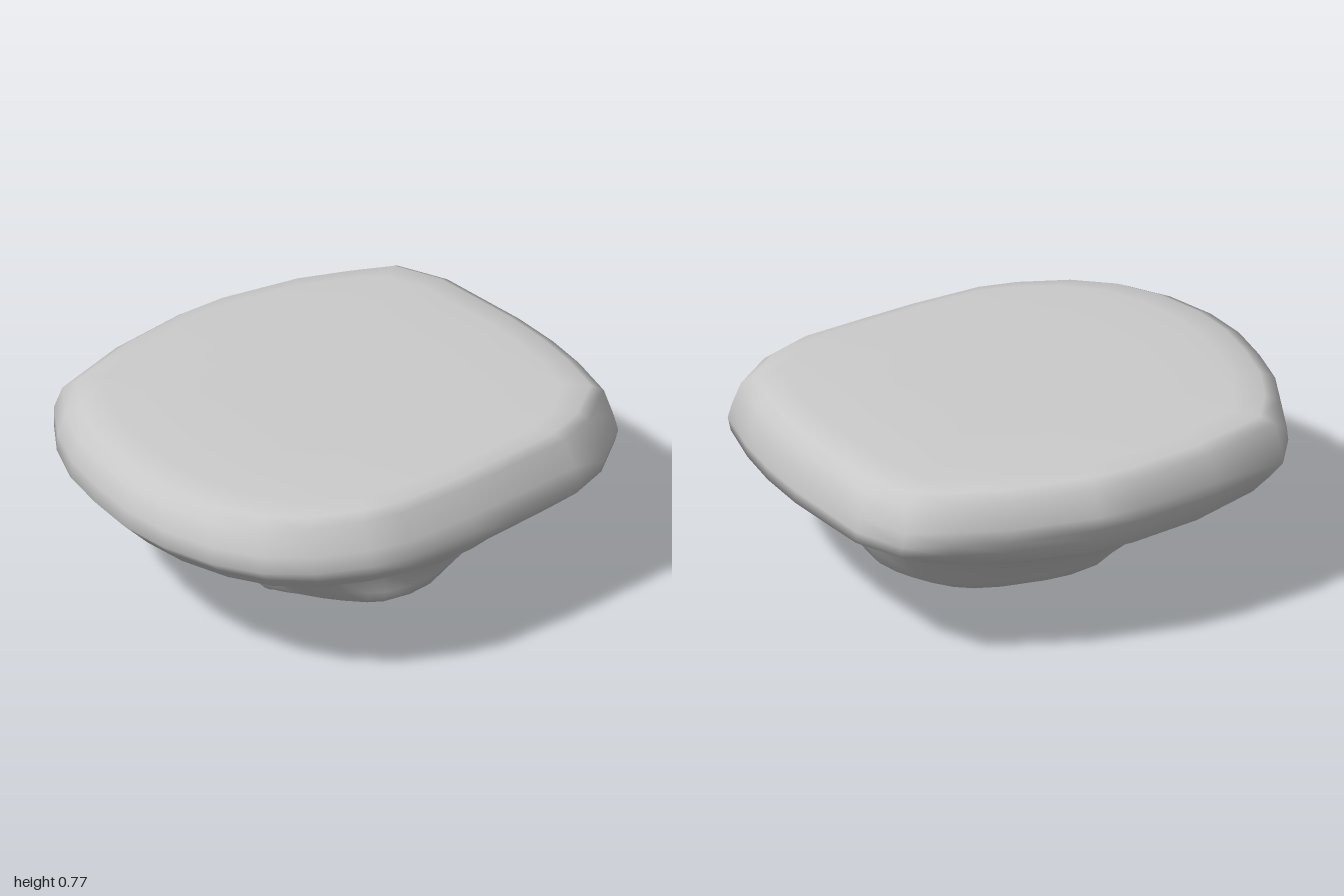
import * as THREE from 'three';
import { mergeVertices } from 'three/addons/utils/BufferGeometryUtils.js';

// Plan outline of the slab, from +x round through +z, as fractions of the half extents
const OUTLINE = [
  [1, 0], [0.99, 0.32], [0.94, 0.48], [0.83, 0.68], [0.68, 0.83], [0.48, 0.93], [0.23, 0.99], [0, 1],
  [-0.23, 0.97], [-0.46, 0.92], [-0.67, 0.83], [-0.85, 0.71], [-0.96, 0.35], [-1, 0],
  [-0.99, -0.19], [-0.9, -0.53], [-0.8, -0.73], [-0.7, -0.9], [-0.47, -0.98], [-0.23, -0.99], [0, -1],
  [0.25, -0.99], [0.48, -0.96], [0.74, -0.9], [0.9, -0.71], [0.97, -0.53], [0.99, -0.2],
];

// Height, reach to -x, +x, -z, +z, and how far the outline is rounded to an ellipse
const LEVELS = [
  [0.77, 0, 0, 0, 0, 0],
  [0.77, 0.4, 0.4, 0.45, 0.45, 0],
  [0.768, 0.74, 0.73, 0.8, 0.78, 0],
  [0.75, 0.81, 0.79, 0.91, 0.9, 0],
  [0.72, 0.85, 0.82, 0.96, 0.96, 0],
  [0.62, 0.895, 0.87, 0.98, 0.975, 0],
  [0.56, 0.88, 0.89, 0.99, 0.99, 0],
  [0.51, 0.86, 0.88, 0.99, 0.94, 0.05],
  [0.44, 0.82, 0.81, 0.86, 0.87, 0.15],
  [0.4, 0.75, 0.75, 0.77, 0.79, 0.3],
  [0.33, 0.63, 0.69, 0.73, 0.66, 0.5],
  [0.25, 0.52, 0.58, 0.68, 0.51, 0.7],
  [0.16, 0.42, 0.52, 0.62, 0.38, 0.85],
  [0.11, 0.37, 0.5, 0.54, 0.36, 1],
  [0.05, 0.22, 0.25, 0.42, 0.32, 1],
  [0.02, 0.13, 0.1, 0.24, 0.29, 1],
  [0, 0, 0, 0, 0, 1],
];

function createRockGeometry() {
  const positions = [], index = [];
  const n = OUTLINE.length;
  LEVELS.forEach(([y, left, right, back, front, round], i) => {
    OUTLINE.forEach(([u, v], j) => {
      const r = Math.hypot(u, v);
      const a = Math.atan2(v, u);
      const k = THREE.MathUtils.lerp(1, 1 / r, round);
      // Hollow above the foot on the +x side, and faint furrows on the underside
      const hollow = 0.16 * Math.exp(-(((a - 0.4) / 0.3) ** 2) - (((y - 0.28) / 0.07) ** 2));
      const furrow = 0.025 * round * Math.sin(a * 5 + y * 9) * Math.sin(2 * a) ** 2;
      const s = k * (1 - hollow + furrow);
      positions.push(u * s * (u < 0 ? left : right), y, v * s * (v < 0 ? back : front));
      if (i < LEVELS.length - 1) {
        const p = i * n + j, q = i * n + (j + 1) % n;
        if (i > 0) index.push(p, q, p + n);
        if (i < LEVELS.length - 2) index.push(q, q + n, p + n);
      }
    });
  });
  const geometry = new THREE.BufferGeometry();
  geometry.setAttribute('position', new THREE.Float32BufferAttribute(positions, 3));
  geometry.setIndex(index);
  const merged = mergeVertices(geometry, 1e-5);
  merged.computeVertexNormals();
  return merged;
}

export function createModel() {
  const model = new THREE.Group();
  model.name = 'flatToppedRock';
  const rock = new THREE.Mesh(
    createRockGeometry(),
    new THREE.MeshStandardMaterial({ color: 0xcccccc }),
  );
  rock.name = 'rock';
  model.add(rock);
  return model;
}
